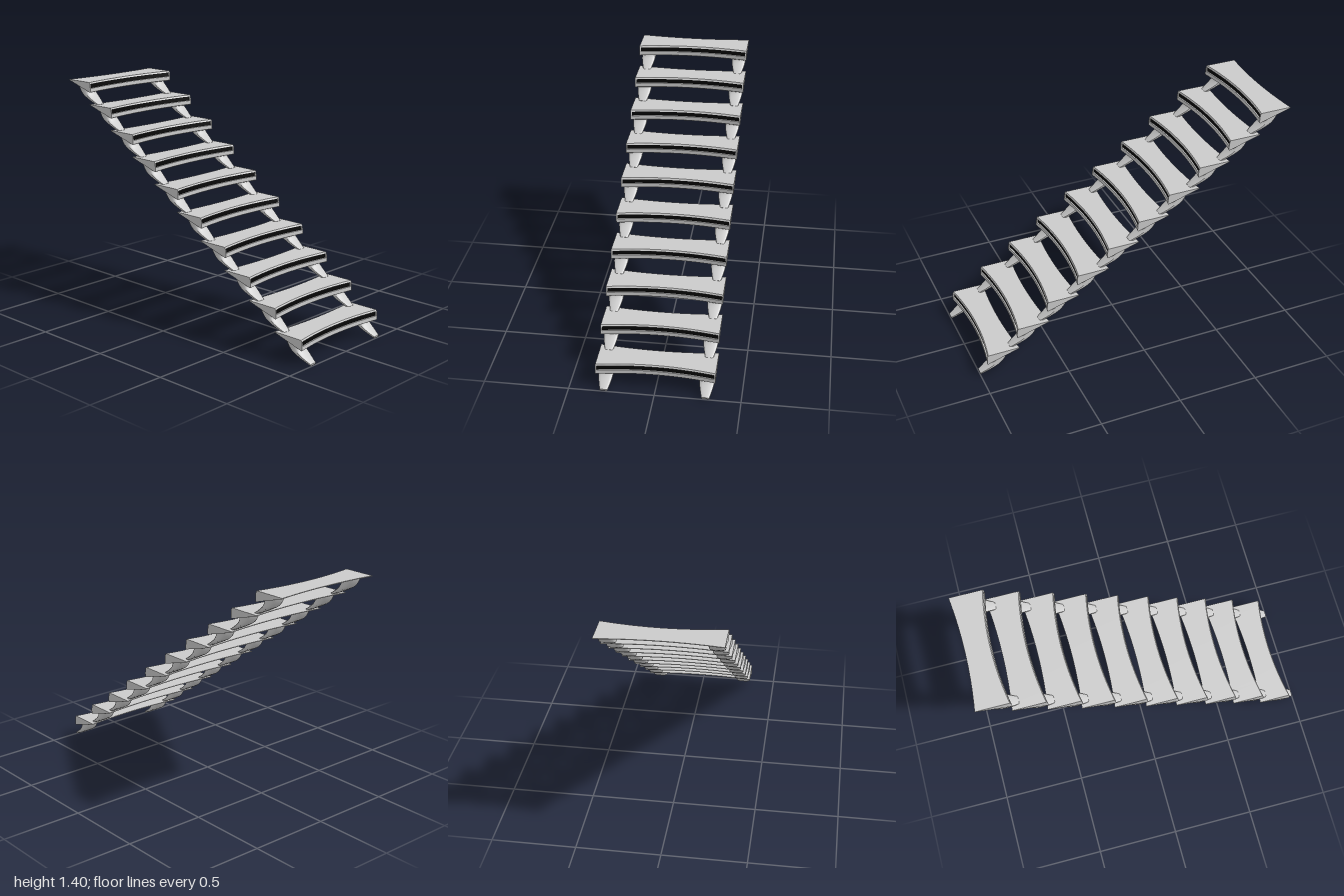
import * as THREE from 'three';
import { toCreasedNormals } from 'three/addons/utils/BufferGeometryUtils.js';

const STEPS = 10, STEP_X = 0.195, STEP_Y = 0.139, TOP_Y = 1.403;
const HALF = 0.348;      // half width of a tread
const GROOVE_END = 0.34; // where the nose groove stops
const GROOVE = 0.012;    // depth of the groove

// Skin a list of equal-sized rings (counter-clockwise about the path) and cap both ends.
function loft(rings, crease) {
  const n = rings[0].length, last = (rings.length - 1) * n, index = [];
  for (let i = 0; i < rings.length - 1; i++) {
    for (let j = 0; j < n; j++) {
      const a = i * n + j, b = i * n + (j + 1) % n;
      index.push(a, b, b + n, a, b + n, a + n);
    }
  }
  for (let j = 1; j < n - 1; j++) {
    index.push(0, j + 1, j, last, last + j, last + j + 1);
  }
  const geo = new THREE.BufferGeometry();
  geo.setAttribute('position', new THREE.Float32BufferAttribute(rings.flat(2), 3));
  geo.setIndex(index);
  return toCreasedNormals(geo, crease);
}

// Both long edges of a tread bow inwards towards the middle.
const bow = z => 1 - (z / HALF) ** 2;
const backEdge = z => 0.022 * bow(z);
const noseEdge = z => 0.205 - 0.033 * bow(z);

function treadRing(z, depth) {
  const b = backEdge(z), r = noseEdge(z);
  return [
    [b, 0, z], [b, -0.004, z], [r - 0.004, -0.064, z], [r, -0.061, z],
    [r, -0.037, z], [r - depth, -0.037, z],
    [r - 0.003 - depth, -0.01, z], [r - 0.003, -0.01, z],
    [r - 0.009, 0, z],
  ];
}

function treadGeometry() {
  const rings = [treadRing(-HALF, 0), treadRing(-GROOVE_END, 0)];
  for (let i = 0; i <= 24; i++) {
    rings.push(treadRing(GROOVE_END * (i / 12 - 1), GROOVE));
  }
  rings.push(treadRing(GROOVE_END, 0), treadRing(HALF, 0));
  return loft(rings, 0.5);
}

// Dark grip strip seated in the groove
function stripGeometry() {
  const rings = [];
  for (let i = 0; i <= 24; i++) {
    const z = GROOVE_END * (i / 12 - 1), x = noseEdge(z) - GROOVE;
    rings.push([
      [x - 0.006, -0.0105, z], [x - 0.006, -0.0365, z],
      [x + 0.004, -0.0365, z], [x + 0.002, -0.0105, z],
    ]);
  }
  return loft(rings, 0.5);
}

// Curved bracket: an upper and a lower side curve (x, y) with half widths as the third value
function bracketGeometry() {
  const curve = pts => new THREE.CatmullRomCurve3(pts.map(p => new THREE.Vector3(...p)));
  const lower = curve([
    [0.06, -0.015, 0.045], [0.075, -0.045, 0.045], [0.1, -0.077, 0.045],
    [0.14, -0.102, 0.043], [0.19, -0.128, 0.034], [0.24, -0.152, 0.023],
  ]);
  const upper = curve([
    [0.165, -0.04, 0.045], [0.16, -0.058, 0.045], [0.168, -0.078, 0.045],
    [0.185, -0.096, 0.043], [0.215, -0.118, 0.034], [0.245, -0.138, 0.023],
  ]);
  const rings = [], sides = 16, round = v => Math.sign(v) * Math.abs(v) ** 0.6;
  for (let i = 0; i <= 15; i++) {
    const lo = lower.getPoint(i / 15), up = upper.getPoint(i / 15), ring = [];
    for (let j = 0; j < sides; j++) {
      const a = j / sides * Math.PI * 2;
      const p = up.clone().lerp(lo, 0.5 + 0.5 * round(Math.sin(a)));
      ring.push([p.x, p.y, lo.z * round(Math.cos(a))]);
    }
    rings.push(ring);
  }
  return loft(rings, 0.7);
}

export function createModel() {
  const model = new THREE.Group();
  model.name = 'staircase';
  const grey = new THREE.MeshStandardMaterial({ color: 0xcccccc });
  const black = new THREE.MeshStandardMaterial({ color: 0x050505 });
  const tread = treadGeometry(), strip = stripGeometry(), bracket = bracketGeometry();

  const add = (parent, geo, mat, name, z = 0) => {
    const mesh = new THREE.Mesh(geo, mat);
    mesh.name = name;
    mesh.position.z = z;
    parent.add(mesh);
  };

  // Identical steps descending towards +x
  for (let i = 0; i < STEPS; i++) {
    const step = new THREE.Group();
    step.name = `step${i + 1}`;
    step.position.set(-1 + i * STEP_X, TOP_Y - i * STEP_Y, 0);
    add(step, tread, grey, 'tread');
    add(step, strip, black, 'gripStrip');
    add(step, bracket, grey, 'frontBracket', 0.295);
    add(step, bracket, grey, 'backBracket', -0.295);
    model.add(step);
  }
  return model;
}
